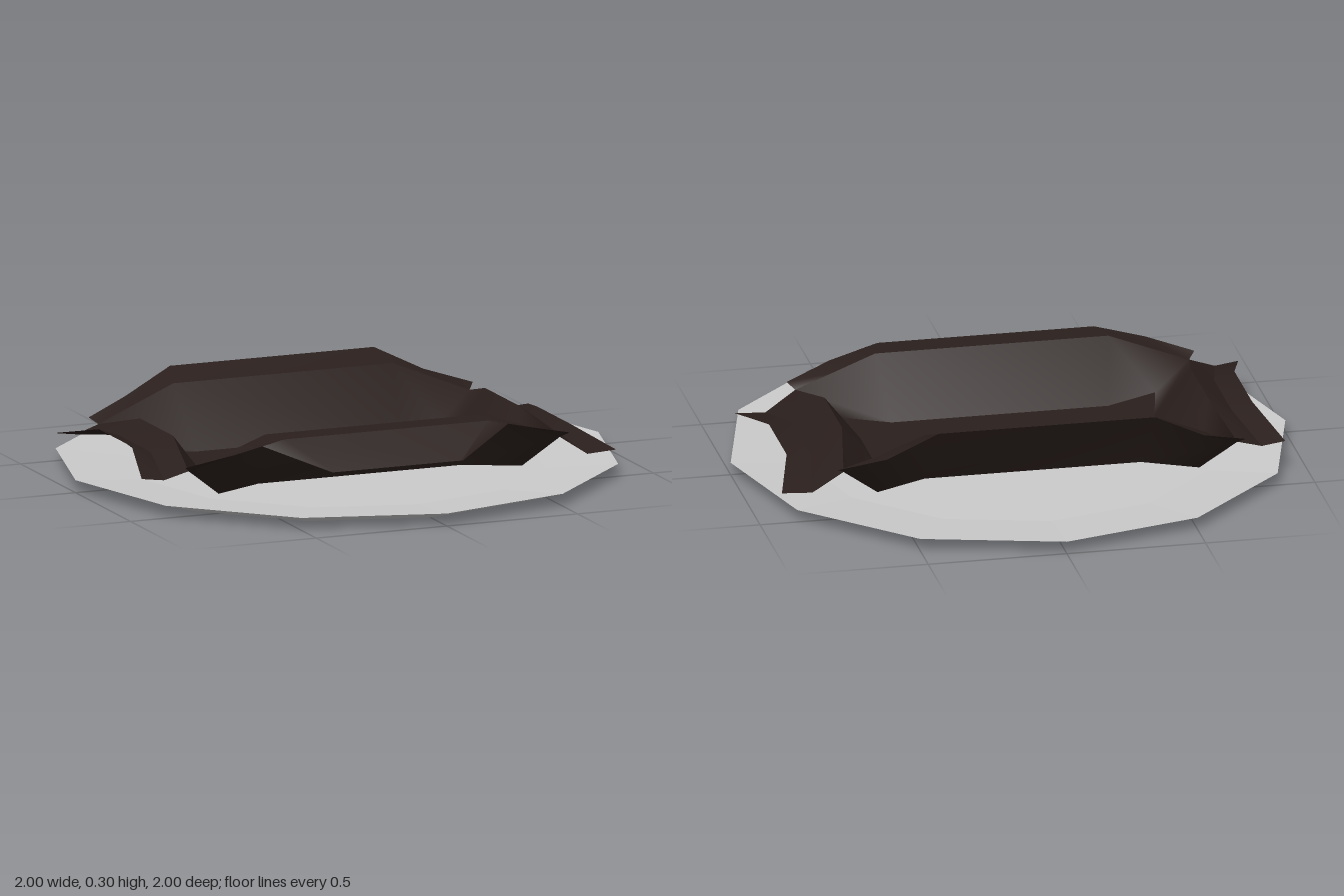
import * as THREE from 'three';

const foil = new THREE.MeshStandardMaterial({ color: 0x2a1f1c, side: THREE.DoubleSide });
const grey = new THREE.MeshStandardMaterial({ color: 0xcccccc, flatShading: true });

// Sheet stretched between two polylines with the same number of points
function sheet(name, inner, outer, closed = false) {
  const n = inner.length;
  const index = [];
  for (let i = 0; i < (closed ? n : n - 1); i++) {
    const j = (i + 1) % n;
    index.push(i, n + i, n + j, i, n + j, j);
  }
  const geo = new THREE.BufferGeometry();
  geo.setAttribute('position', new THREE.Float32BufferAttribute([...inner, ...outer].flat(), 3));
  geo.setIndex(index);
  geo.computeVertexNormals();
  const mesh = new THREE.Mesh(geo, foil);
  mesh.name = name;
  return mesh;
}

// The wrapper is symmetric about this x
const CX = -0.03;
const mirrorX = (pts) => [...pts, ...pts.map(([x, y, z]) => [2 * CX - x, y, z]).reverse()];
const mirrorZ = (pts) => [...pts, ...pts.map(([x, y, z]) => [x, y, -z]).reverse()];

export function createModel() {
  const group = new THREE.Group();

  // Twelve-sided shallow plate
  const profile = [[0, 0], [0.85, 0], [1, 0.045], [0.74, 0.025], [0, 0.025]];
  const plate = new THREE.Mesh(
    new THREE.LatheGeometry(profile.map(([x, y]) => new THREE.Vector2(x, y)), 12), grey);
  plate.name = 'plate';
  group.add(plate);

  // Rims of the opened wrapper: long sides (left to right), ends (front to back)
  const frontCrest = mirrorX([[-0.74, 0.14, 0.41], [-0.45, 0.25, 0.42]]);
  const backCrest = mirrorX([[-0.74, 0.14, -0.41], [-0.45, 0.26, -0.42]]);
  const rightCrest = mirrorZ([[0.68, 0.14, 0.41], [0.63, 0.205, 0.15]]);
  const leftCrest = mirrorZ([[-0.74, 0.14, 0.41], [-0.69, 0.21, 0.15]]);

  // Floor outline and the walls rising from it to the crest
  const floorFront = mirrorX([[-0.61, 0.04, 0.375], [-0.42, 0.04, 0.28]]);
  const floorBack = floorFront.map(([x, y, z]) => [x, y, -z]);
  const floorEnd = mirrorZ([[0.5, 0.04, 0.15]]);
  const floorRing = [...floorFront, ...floorEnd, ...[...floorBack].reverse(),
    ...floorEnd.map(([x, y, z]) => [2 * CX - x, y, -z])];
  const crestRing = [...frontCrest, ...rightCrest.slice(1, 3), ...[...backCrest].reverse(),
    ...leftCrest.slice(1, 3).reverse()];
  group.add(sheet('wrapperFloor', floorRing.map(() => [CX, 0.04, 0]), floorRing, true));
  group.add(sheet('wrapperWalls', floorRing, crestRing, true));

  // Long folded rims with pointed ears at the corners
  const along = (crest) => {
    const a = new THREE.Vector3(...crest[0]).lerp(new THREE.Vector3(...crest[1]), 0.45).toArray();
    return mirrorX([crest[0], a, crest[1]]);
  };
  group.add(sheet('frontRim', along(frontCrest),
    mirrorX([[-0.765, 0.16, 0.44], [-0.6, 0.205, 0.5], [-0.42, 0.25, 0.52]])));
  group.add(sheet('backRim', along(backCrest),
    mirrorX([[-0.765, 0.16, -0.44], [-0.6, 0.21, -0.5], [-0.42, 0.3, -0.52]])));

  // Drooping flap on the front rim
  group.add(sheet('frontFlap',
    mirrorX([[-0.5, 0.23, 0.512], [-0.42, 0.25, 0.52]]),
    mirrorX([[-0.28, 0.14, 0.625], [-0.27, 0.14, 0.625]])));

  // End slopes and flanges, with edges bowed inward in the middle
  const rightFold = mirrorZ([[0.79, 0.067, 0.4], [0.745, 0.12, 0.15]]);
  const leftFold = mirrorZ([[-0.83, 0.113, 0.4], [-0.775, 0.158, 0.15]]);
  group.add(sheet('rightSlope', rightCrest, rightFold));
  group.add(sheet('leftSlope', leftCrest, leftFold));
  group.add(sheet('rightFlange', rightFold, mirrorZ([[0.9, 0.073, 0.4], [0.83, 0.12, 0.15]])));
  group.add(sheet('leftFlange', leftFold, mirrorZ([[-0.915, 0.125, 0.4], [-0.848, 0.185, 0.15]])));

  return group;
}
